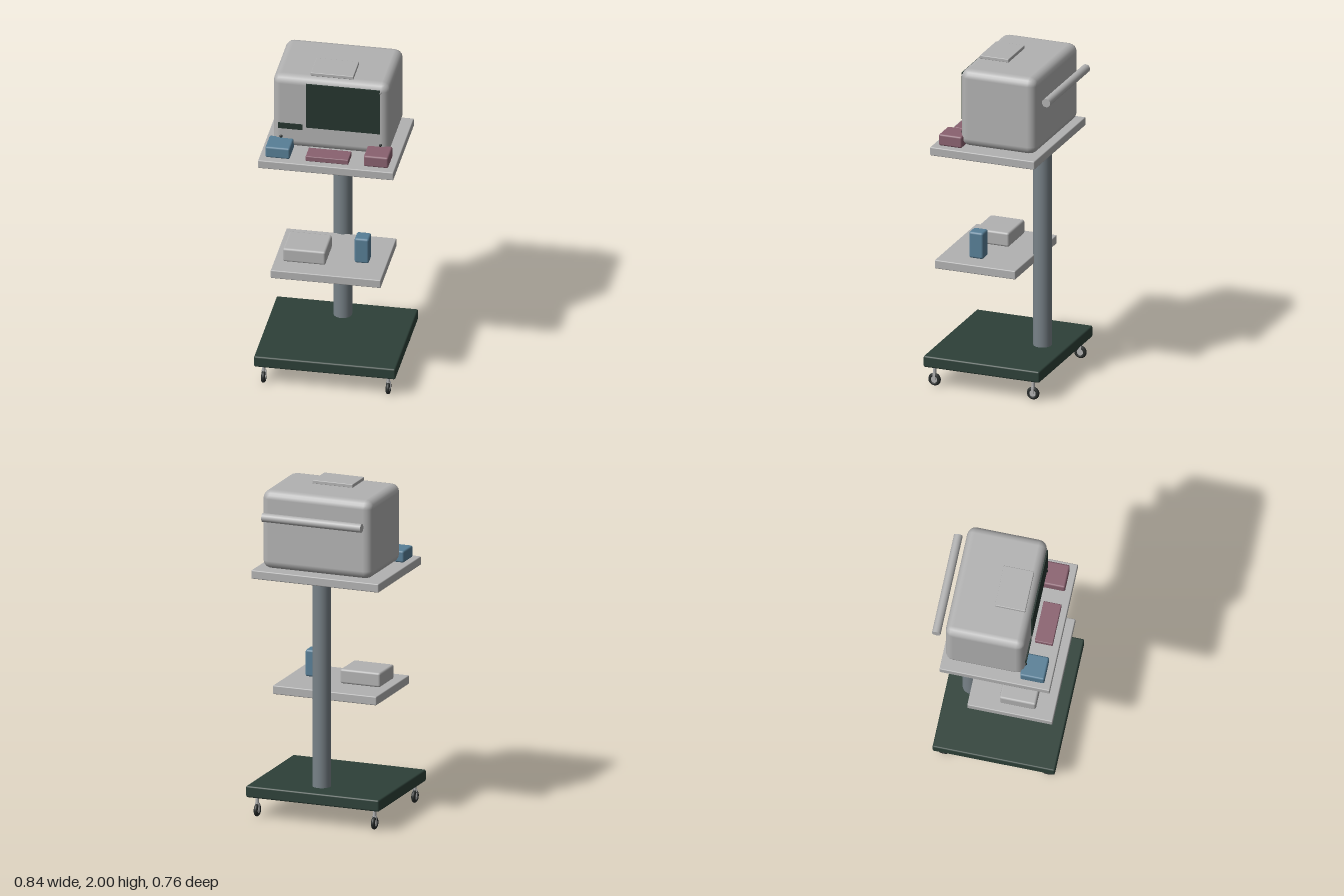
import * as THREE from 'three';
import { RoundedBoxGeometry } from 'three/addons/geometries/RoundedBoxGeometry.js';

const mat = (name, color) => {
  const m = new THREE.MeshStandardMaterial({ color });
  m.name = name;
  return m;
};

export function createModel() {
  const gray = mat('light gray', 0xb2b2b2);
  const steel = mat('steel gray', 0x788288);
  const green = mat('dark green', 0x2d4038);
  const screenGreen = mat('screen green', 0x26352f);
  const blue = mat('blue', 0x587f97);
  const red = mat('dusty red', 0x8a6270);
  const black = mat('wheel black', 0x292d2c);

  const model = new THREE.Group();
  model.name = 'equipmentCart';

  const add = (name, geometry, material, x, y, z, parent = model) => {
    const mesh = new THREE.Mesh(geometry, material);
    mesh.name = name;
    mesh.position.set(x, y, z);
    parent.add(mesh);
    return mesh;
  };

  // Box given by its limits on each axis, with softened edges when r > 0
  const box = (name, material, [x0, x1], [y0, y1], [z0, z1], r = 0) => {
    const size = [x1 - x0, y1 - y0, z1 - z0];
    const geometry = r ? new RoundedBoxGeometry(...size, 2, r) : new THREE.BoxGeometry(...size);
    return add(name, geometry, material, (x0 + x1) / 2, (y0 + y1) / 2, (z0 + z1) / 2);
  };

  // Stand: base, column and two shelves
  box('base', green, [-0.42, 0.42], [0.125, 0.195], [-0.353, 0.377], 0.01);
  add('column', new THREE.CylinderGeometry(0.055, 0.055, 1.25, 32), steel, 0, 0.827, -0.206);
  box('lowerShelf', gray, [-0.327, 0.327], [0.712, 0.765], [-0.165, 0.343], 0.006);
  box('upperShelf', gray, [-0.402, 0.402], [1.443, 1.495], [-0.315, 0.342], 0.006);

  // Casters: stem, fork cheeks, tyre and hub
  for (const x of [-0.37, 0.37]) {
    for (const z of [-0.295, 0.325]) {
      const caster = new THREE.Group();
      caster.name = 'caster';
      caster.position.set(x, 0, z);
      model.add(caster);
      add('stem', new THREE.CylinderGeometry(0.01, 0.01, 0.05, 12), gray, 0, 0.1, 0, caster);
      const tyre = add('tyre', new THREE.TorusGeometry(0.027, 0.012, 10, 24), black, 0, 0.04, 0, caster);
      tyre.rotation.y = Math.PI / 2;
      const hub = add('hub', new THREE.CylinderGeometry(0.02, 0.02, 0.018, 20), gray, 0, 0.04, 0, caster);
      hub.rotation.z = Math.PI / 2;
      for (const s of [-1, 1]) {
        add('forkCheek', new THREE.BoxGeometry(0.004, 0.045, 0.016), gray, s * 0.011, 0.06, 0, caster);
      }
    }
  }

  // Monitor unit with its rear handle and top plate
  box('monitorBody', gray, [-0.347, 0.347], [1.505, 1.98], [-0.297, 0.178], 0.05);
  box('topPlate', gray, [-0.127, 0.127], [1.978, 2], [-0.042, 0.139], 0.004);
  const handle = add('rearHandle', new THREE.CylinderGeometry(0.026, 0.026, 0.624, 20), gray, 0, 1.835, -0.353);
  handle.rotation.z = Math.PI / 2;

  // Front panel details
  box('screen', screenGreen, [-0.147, 0.293], [1.655, 1.945], [0.177, 0.186]);
  box('slot', screenGreen, [-0.312, -0.167], [1.635, 1.67], [0.177, 0.185]);
  for (const x of [-0.295, 0.295]) {
    add('panelButton', new THREE.SphereGeometry(0.01, 12, 8), black, x, 1.578, 0.176);
  }
  add('indicator', new THREE.SphereGeometry(0.009, 12, 8), gray, 0.292, 1.928, 0.178);

  // Modules in front of the monitor
  box('blueModule', blue, [-0.367, -0.221], [1.497, 1.568], [0.158, 0.303], 0.011);
  box('redModule', red, [0.218, 0.364], [1.497, 1.568], [0.158, 0.303], 0.011);
  box('redTray', red, [-0.127, 0.127], [1.497, 1.53], [0.195, 0.303], 0.005);

  // Items on the lower shelf
  box('grayCase', gray, [-0.276, -0.022], [0.767, 0.855], [0.016, 0.233], 0.013);
  box('blueCanister', blue, [0.138, 0.224], [0.767, 0.93], [0.08, 0.17], 0.013);

  return model;
}
